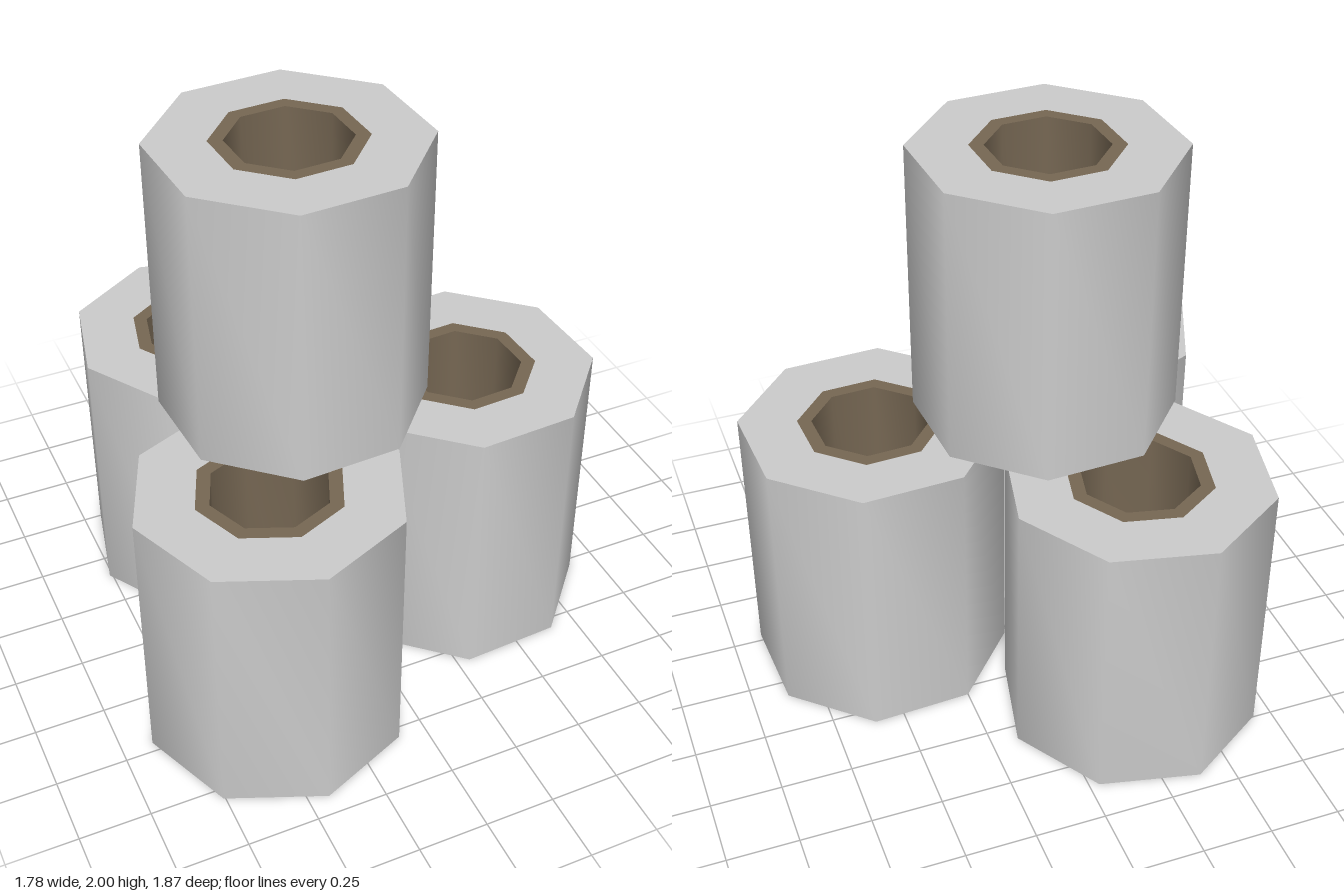
import * as THREE from 'three';
import { toCreasedNormals } from 'three/addons/utils/BufferGeometryUtils.js';

const SIDES = 8;
const HEIGHT = 1;
const OUTER = 0.465;  // outside of the shell
const SLEEVE = 0.257; // where shell and lining meet
const BORE = 0.207;   // open hole

// Eight-sided surface of revolution: smooth walls, sharp rims
function turned(profile) {
  const points = profile.map(([r, y]) => new THREE.Vector2(r, y));
  return toCreasedNormals(new THREE.LatheGeometry(points, SIDES), Math.PI / 3);
}

export function createModel() {
  const model = new THREE.Group();
  model.name = 'stackedTubes';

  const shellMaterial = new THREE.MeshStandardMaterial({ color: 0xcccccc });
  const liningMaterial = new THREE.MeshStandardMaterial({ color: 0x766753 });

  // Shell: bottom rim, outer wall, top rim
  const shellGeometry = turned([[SLEEVE, 0], [OUTER, 0], [OUTER, HEIGHT], [SLEEVE, HEIGHT]]);
  // Lining: top rim, bore wall, bottom rim
  const liningGeometry = turned([[SLEEVE, HEIGHT], [BORE, HEIGHT], [BORE, 0], [SLEEVE, 0]]);

  // Three tubes on the ground and one standing on them
  const tubes = [
    { name: 'backTube', x: -0.303, y: 0, z: -0.48, turn: 9.9 },
    { name: 'leftTube', x: 0.452, y: 0, z: 0.128, turn: -19.3 },
    { name: 'rightTube', x: -0.428, y: 0, z: 0.462, turn: 0 },
    { name: 'topTube', x: -0.16, y: HEIGHT, z: 0.036, turn: -19.3 },
  ];

  for (const { name, x, y, z, turn } of tubes) {
    const tube = new THREE.Group();
    tube.name = name;
    const shell = new THREE.Mesh(shellGeometry, shellMaterial);
    shell.name = 'shell';
    const lining = new THREE.Mesh(liningGeometry, liningMaterial);
    lining.name = 'lining';
    tube.add(shell, lining);
    tube.position.set(x, y, z);
    tube.rotation.y = THREE.MathUtils.degToRad(turn);
    model.add(tube);
  }
  return model;
}
